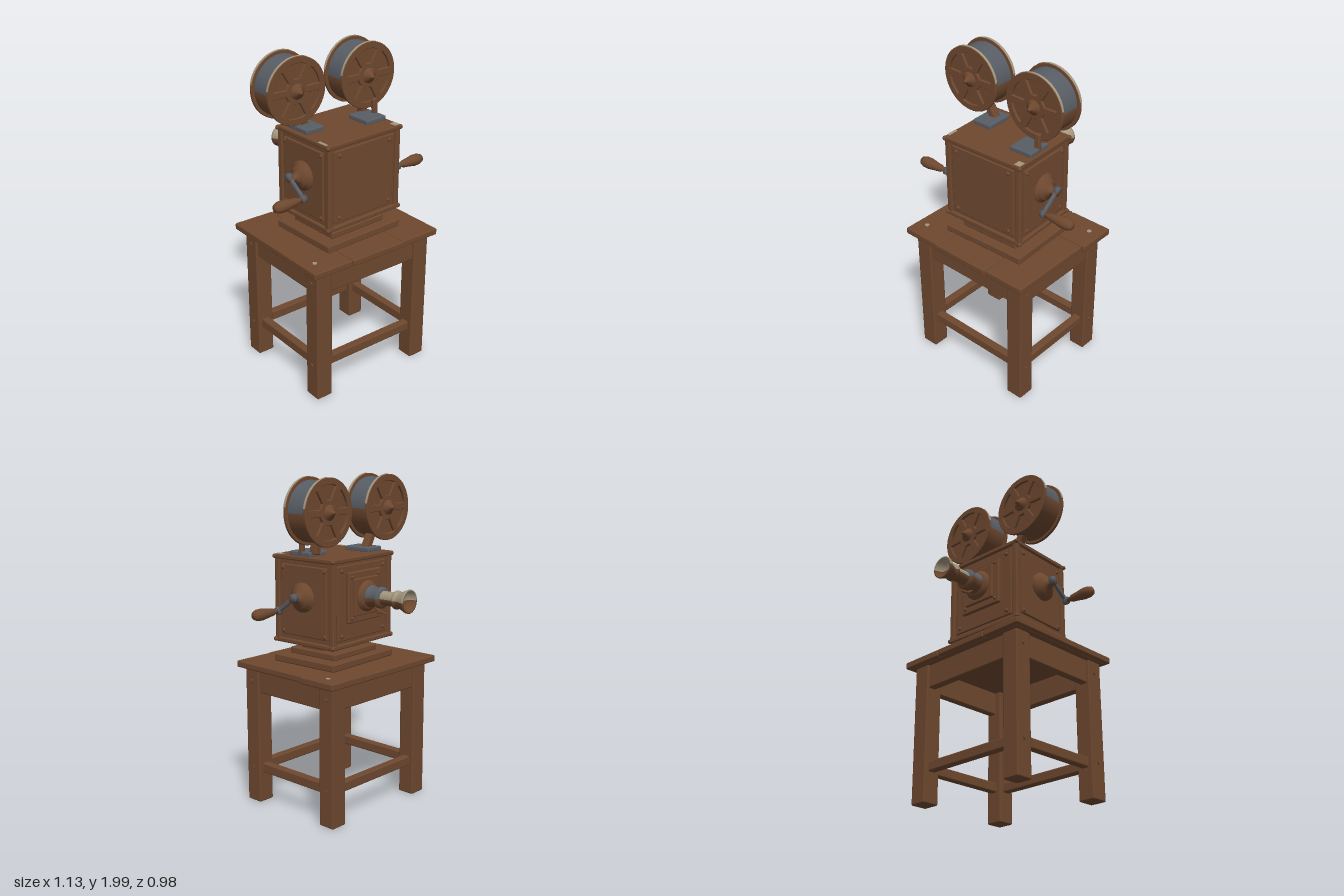
import * as THREE from 'three';
import { RoundedBoxGeometry } from 'three/addons/geometries/RoundedBoxGeometry.js';

const mat = (name, color) => Object.assign(new THREE.MeshStandardMaterial({ color }), { name });
const brown = mat('brownWood', 0x6e482f);
const grey = mat('greyMetal', 0x585d65);
const cream = mat('wornCream', 0xa2967e);

function add(parent, name, geo, material, x = 0, y = 0, z = 0) {
  const m = new THREE.Mesh(geo, material);
  m.name = name;
  m.position.set(x, y, z);
  parent.add(m);
  return m;
}
const group = (parent, name, x = 0, y = 0, z = 0) => {
  const g = new THREE.Group();
  g.name = name;
  g.position.set(x, y, z);
  parent.add(g);
  return g;
};
const box = (p, name, w, h, d, x, y, z, m = brown) =>
  add(p, name, new RoundedBoxGeometry(w, h, d, 2, Math.min(0.008, w / 3, h / 3, d / 3)), m, x, y, z);
const lathe = (pts, start = 0, len = Math.PI * 2) =>
  new THREE.LatheGeometry(pts.map(([r, y]) => new THREE.Vector2(r, y)), 28, start, len);
// straight bar of rectangular section between two points
function bar(p, name, a, b, w, d, m) {
  const A = new THREE.Vector3(...a), B = new THREE.Vector3(...b), dir = B.clone().sub(A);
  const mesh = box(p, name, w, dir.length(), d, 0, 0, 0, m);
  mesh.position.copy(A).add(B).multiplyScalar(0.5);
  mesh.quaternion.setFromUnitVectors(new THREE.Vector3(0, 1, 0), dir.normalize());
}

function buildTable(root) {
  const t = group(root, 'table', 0, 0, 0.063);
  t.rotation.y = -0.045;
  // three boards with narrow seams; the last one is split in two
  box(t, 'leftBoard', 0.268, 0.04, 0.806, -0.331, 0.868, 0);
  box(t, 'middleBoard', 0.375, 0.04, 0.812, -0.007, 0.868, 0.002);
  box(t, 'rightBoardBack', 0.285, 0.042, 0.25, 0.325, 0.868, -0.277);
  box(t, 'rightBoardFront', 0.27, 0.04, 0.55, 0.318, 0.868, 0.126);
  box(t, 'boardBacking', 0.88, 0.025, 0.76, 0, 0.855, 0);
  for (const sx of [-1, 1]) {
    for (const sz of [-1, 1]) {
      box(t, 'leg', 0.108, 0.85, 0.108, sx * 0.365, 0.427, sz * 0.306);
      for (const y of [0.22, 0.77]) {
        const peg = add(t, 'peg', new THREE.CylinderGeometry(0.012, 0.012, 0.012, 10), brown,
          sx * 0.421, y, sz * 0.306);
        peg.rotation.z = Math.PI / 2;
      }
    }
    box(t, 'sideApron', 0.05, 0.15, 0.52, sx * 0.378, 0.775, 0);
    box(t, 'sideStretcher', 0.05, 0.06, 0.52, sx * 0.365, 0.22, 0);
    box(t, 'endApron', 0.64, 0.15, 0.05, 0, 0.775, sx * 0.32);
    box(t, 'endStretcher', 0.64, 0.06, 0.05, 0, 0.22, sx * 0.306);
    add(t, 'nail', new THREE.CylinderGeometry(0.014, 0.014, 0.006, 10), cream, sx * 0.39, 0.889, sx * -0.3);
  }
}

function buildBody(root) {
  const p = group(root, 'pedestal', 0.008, 0, 0.075);
  box(p, 'lowerPlinth', 0.56, 0.045, 0.47, 0, 0.91, 0);
  box(p, 'upperPlinth', 0.4, 0.04, 0.35, 0, 0.95, 0);
  box(p, 'neck', 0.345, 0.06, 0.17, 0, 0.99, 0.02);
  const b = group(root, 'cameraBox', 0.008, 1.275, 0.075);
  box(b, 'body', 0.52, 0.52, 0.43, 0, 0, 0);
  for (const s of [-1, 1]) {
    box(b, 'edgePlate', 0.552, 0.028, 0.462, 0, s * 0.25, 0);
    for (const q of [-1, 1]) {
      box(b, 'cornerPost', 0.036, 0.5, 0.036, s * 0.255, 0, q * 0.21);
      // bolts on the corners of every face
      for (const y of [-0.19, 0.19]) {
        const f = add(b, 'faceBolt', new THREE.SphereGeometry(0.013, 10, 8), brown, s * 0.19, y, q * 0.225);
        f.scale.z = 0.7;
        const e = add(b, 'sideBolt', new THREE.SphereGeometry(0.013, 10, 8), brown, s * 0.271, y, q * 0.16);
        e.scale.x = 0.7;
      }
      for (const y of [-0.25, 0.25])
        add(b, 'cornerBolt', new THREE.SphereGeometry(0.014, 10, 8), brown, s * 0.272, y, q * 0.225);
    }
    box(b, 'facePanel', 0.45, 0.44, 0.02, 0, 0, s * 0.213);
    box(b, 'sidePanel', 0.02, 0.42, 0.35, s * 0.262, 0, 0);
  }
  // worn corners of the lid
  box(b, 'wornCorner', 0.04, 0.004, 0.045, 0.25, 0.264, 0.2, cream);
  box(b, 'wornEdge', 0.018, 0.004, 0.07, -0.264, 0.264, 0.17, cream);
}

function buildLens(root) {
  const l = group(root, 'lens', 0.013, 1.305, -0.15);
  box(l, 'mountPlate', 0.3, 0.3, 0.025, 0, 0, -0.008);
  box(l, 'innerPlate', 0.22, 0.22, 0.02, 0, 0, -0.026);
  for (const x of [-0.12, 0.12]) for (const y of [-0.12, 0.12])
    add(l, 'plateBolt', new THREE.SphereGeometry(0.011, 10, 8), brown, x, y, -0.02);
  const turned = (name, pts, m, start, len) =>
    add(l, name, lathe(pts, start, len).rotateX(-Math.PI / 2), m);
  turned('flange', [[0.092, 0.03], [0.092, 0.045], [0.078, 0.05], [0.075, 0.064], [0.05, 0.066]], brown);
  const collar = [[0.064, 0.06], [0.066, 0.075], [0.057, 0.085], [0.057, 0.125], [0.063, 0.13], [0.063, 0.15], [0.042, 0.158]];
  const barrel = [[0.042, 0.15], [0.042, 0.245], [0.054, 0.25], [0.054, 0.262], [0.045, 0.268], [0.05, 0.29],
    [0.068, 0.33], [0.069, 0.342], [0.06, 0.342], [0.044, 0.3], [0, 0.298]];
  // upper halves are worn, lower halves stay brown
  for (const [start, ma, mb] of [[-Math.PI / 2, grey, cream], [Math.PI / 2, brown, brown]]) {
    turned('lensCollar', collar, ma, start, Math.PI);
    turned('lensBarrel', barrel, mb, start, Math.PI);
  }
  bar(l, 'focusLever', [0, -0.055, -0.09], [0, -0.085, -0.13], 0.014, 0.014, brown);
  bar(l, 'focusLeverTip', [0, -0.083, -0.125], [0, -0.092, -0.18], 0.014, 0.014, brown);
}

function discGeometry(R) {
  const s = new THREE.Shape();
  s.absarc(0, 0, R, 0, Math.PI * 2);
  for (let i = 0; i < 6; i++) {
    const a = (i * Math.PI) / 3 + 0.12, e = a + Math.PI / 3 - 0.24, h = new THREE.Path();
    h.absarc(0, 0, R * 0.83, a, e, false);
    h.absarc(0, 0, R * 0.36, e - 0.12, a + 0.12, true);
    h.closePath();
    s.holes.push(h);
  }
  return new THREE.ExtrudeGeometry(s, { depth: 0.012, bevelEnabled: true, bevelThickness: 0.003,
    bevelSize: 0.003, bevelSegments: 1, curveSegments: 32 }).translate(0, 0, -0.006);
}

function buildReel(root, name, x, z) {
  const R = 0.197, r = group(root, name, x, 1.795, z);
  r.rotation.y = -0.035;
  const disc = discGeometry(R - 0.003);
  for (const s of [-1, 1]) {
    add(r, 'reelDisc', disc, brown, 0, 0, s * 0.077);
    // worn upper rim
    add(r, 'wornRim', new THREE.CylinderGeometry(R + 0.002, R + 0.002, 0.016, 40, 1, true, -1.4, 2.8)
      .rotateX(-Math.PI / 2), cream, 0, 0, s * 0.077);
    // stepped hub with a pointed nut
    const hub = lathe([[0.045, 0.08], [0.045, 0.092], [0.028, 0.097], [0.024, 0.11], [0.013, 0.113], [0.011, 0.128], [0, 0.133]]);
    add(r, 'hub', hub.rotateX(s * Math.PI / 2), brown);
  }
  const film = (start, m) => add(r, 'filmRoll',
    new THREE.CylinderGeometry(0.178, 0.178, 0.138, 32, 1, false, start, Math.PI).rotateX(-Math.PI / 2),
    [m, brown, brown]);
  film(-Math.PI / 2, grey);
  film(Math.PI / 2, brown);
}

function buildCrank(root, s) {
  const c = group(root, s > 0 ? 'leftCrank' : 'rightCrank', 0.004, 1.3, 0.08);
  const turned = (name, pts, m, x, y, z) =>
    add(c, name, lathe(pts).rotateZ(-s * Math.PI / 2), m, x, y, z);
  turned('crankFlange', [[0.088, 0.265], [0.088, 0.285], [0.066, 0.292], [0.064, 0.31], [0.035, 0.314],
    [0.033, 0.33], [0.018, 0.334], [0.018, 0.375], [0, 0.377]], brown);
  // cranked arm with round ends
  const arm = [[s * 0.362, 0.01, -0.01], [s * 0.362, -0.08, 0.115]];
  bar(c, 'crankArm', arm[0], arm[1], 0.022, 0.026, grey);
  for (const q of arm) turned('armBoss', [[0, -0.015], [0.024, -0.013], [0.024, 0.013], [0, 0.015]], grey, ...q);
  turned('handle', [[0, 0], [0.014, 0.002], [0.015, 0.03], [0.022, 0.04], [0.027, 0.08], [0.035, 0.13],
    [0.034, 0.165], [0.024, 0.19], [0, 0.197]], brown, s * 0.37, -0.08, 0.115);
}

export function createModel() {
  const root = new THREE.Group();
  root.name = 'filmCameraOnTable';
  buildTable(root);
  buildBody(root);
  buildLens(root);
  buildReel(root, 'rightReel', -0.277, -0.029);
  buildReel(root, 'leftReel', 0.216, 0.012);
  // brackets carrying the reels
  box(root, 'rightBracketFoot', 0.13, 0.03, 0.18, -0.175, 1.55, -0.005, grey);
  bar(root, 'rightBracketArm', [-0.165, 1.55, -0.03], [-0.25, 1.7, -0.03], 0.045, 0.05, brown);
  box(root, 'leftBracketFoot', 0.15, 0.03, 0.16, 0.195, 1.55, 0.11, grey);
  bar(root, 'leftBracketArm', [0.255, 1.55, 0.108], [0.25, 1.65, 0.105], 0.035, 0.025, brown);
  bar(root, 'leftBracketStrut', [0.23, 1.55, 0.03], [0.22, 1.66, 0.02], 0.045, 0.05, brown);
  buildCrank(root, 1);
  buildCrank(root, -1);
  return root;
}
